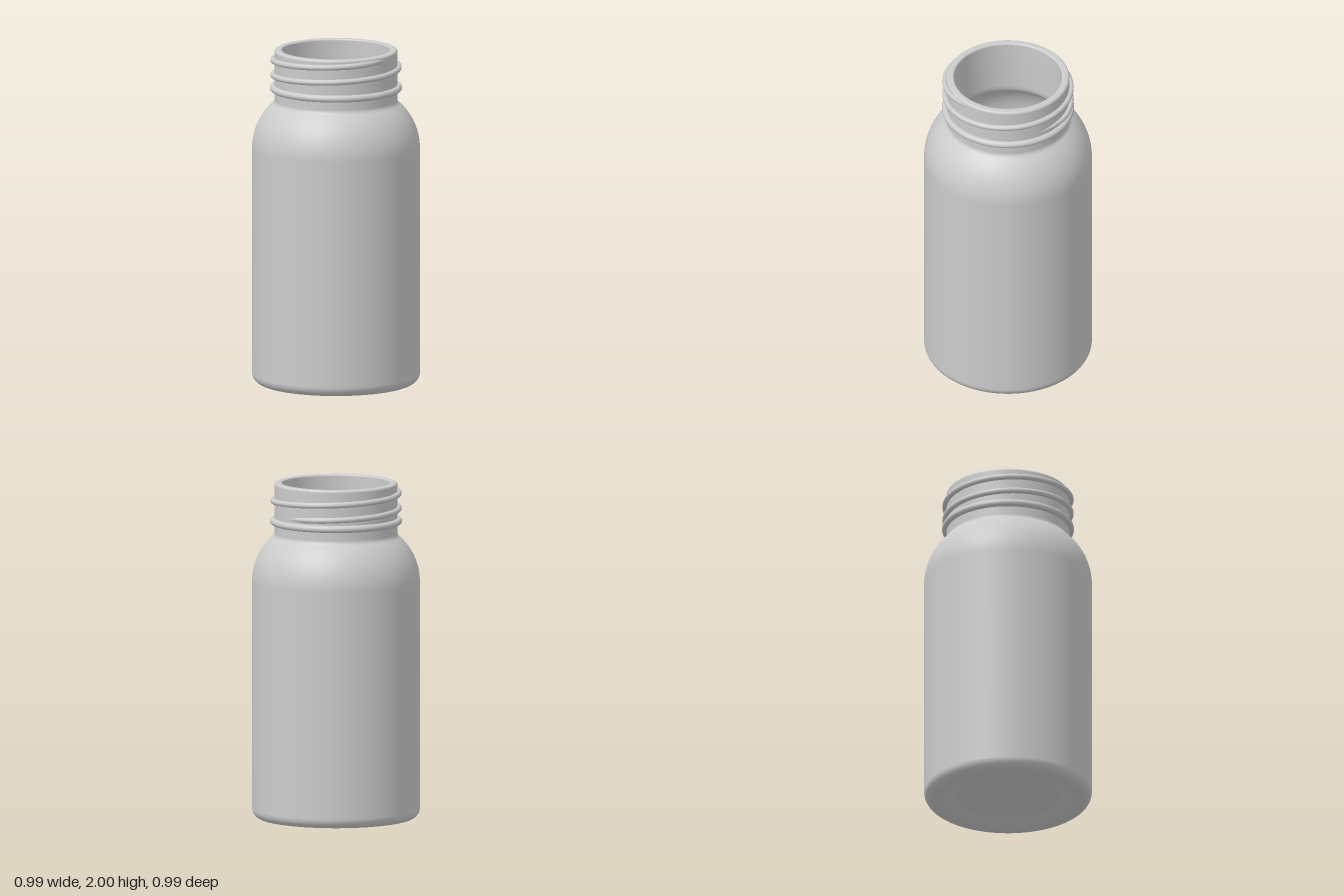
import * as THREE from 'three';

const NECK_R = 0.363;

// Helical thread that rises around the neck and sinks into the wall at both ends
class ThreadCurve extends THREE.Curve {
  getPoint(t, target = new THREE.Vector3()) {
    const sweep = THREE.MathUtils.degToRad(657);
    const a = t * sweep;
    const fade = THREE.MathUtils.smoothstep(Math.min(a, sweep - a), 0, 0.8);
    const r = NECK_R - 0.017 + 0.025 * fade;
    return target.set(r * Math.cos(a), 1.81 + 0.09 * a / (2 * Math.PI), -r * Math.sin(a));
  }
}

// Closed wall section: underside, outer wall, rim, then down the inner wall to the floor
function wallProfile() {
  const rad = THREE.MathUtils.degToRad;
  const p = new THREE.Path();
  p.moveTo(0, 0.035);
  p.lineTo(0.28, 0.035);
  p.bezierCurveTo(0.33, 0.035, 0.35, 0, 0.41, 0);
  p.lineTo(0.435, 0);
  p.absarc(0.435, 0.06, 0.06, -Math.PI / 2, 0, false);
  p.absarc(0.145, 1.41, 0.35, 0, rad(48), false);
  p.quadraticCurveTo(NECK_R, 1.684, NECK_R, 1.7);
  p.lineTo(NECK_R, 1.985);
  p.absarc(NECK_R - 0.015, 1.985, 0.015, 0, Math.PI / 2, false);
  p.absarc(0.328, 1.99, 0.01, Math.PI / 2, Math.PI, false);
  p.lineTo(0.318, 1.69);
  p.absarc(0.145, 1.41, 0.305, rad(53), 0, true);
  p.absarc(0.4, 0.1, 0.05, 0, -Math.PI / 2, true);
  p.bezierCurveTo(0.35, 0.05, 0.33, 0.08, 0.28, 0.08);
  p.lineTo(0, 0.08);
  // drop coincident points where segments meet
  return p.getPoints(20).filter((v, i, all) => i === 0 || v.distanceTo(all[i - 1]) > 1e-5);
}

export function createModel() {
  const group = new THREE.Group();
  group.name = 'bottle';
  const material = new THREE.MeshStandardMaterial({ color: 0xcccccc });

  const add = (name, geometry) => {
    const mesh = new THREE.Mesh(geometry, material);
    mesh.name = name;
    group.add(mesh);
    return mesh;
  };

  // Hollow body with shoulder and neck
  add('bottleBody', new THREE.LatheGeometry(wallProfile(), 128));

  // Rounded collar below the thread
  add('neckRing', new THREE.TorusGeometry(0.369, 0.021, 16, 128).rotateX(Math.PI / 2).translate(0, 1.77, 0));

  // Screw thread
  add('screwThread', new THREE.TubeGeometry(new ThreadCurve(), 240, 0.017, 14, false));

  return group;
}
